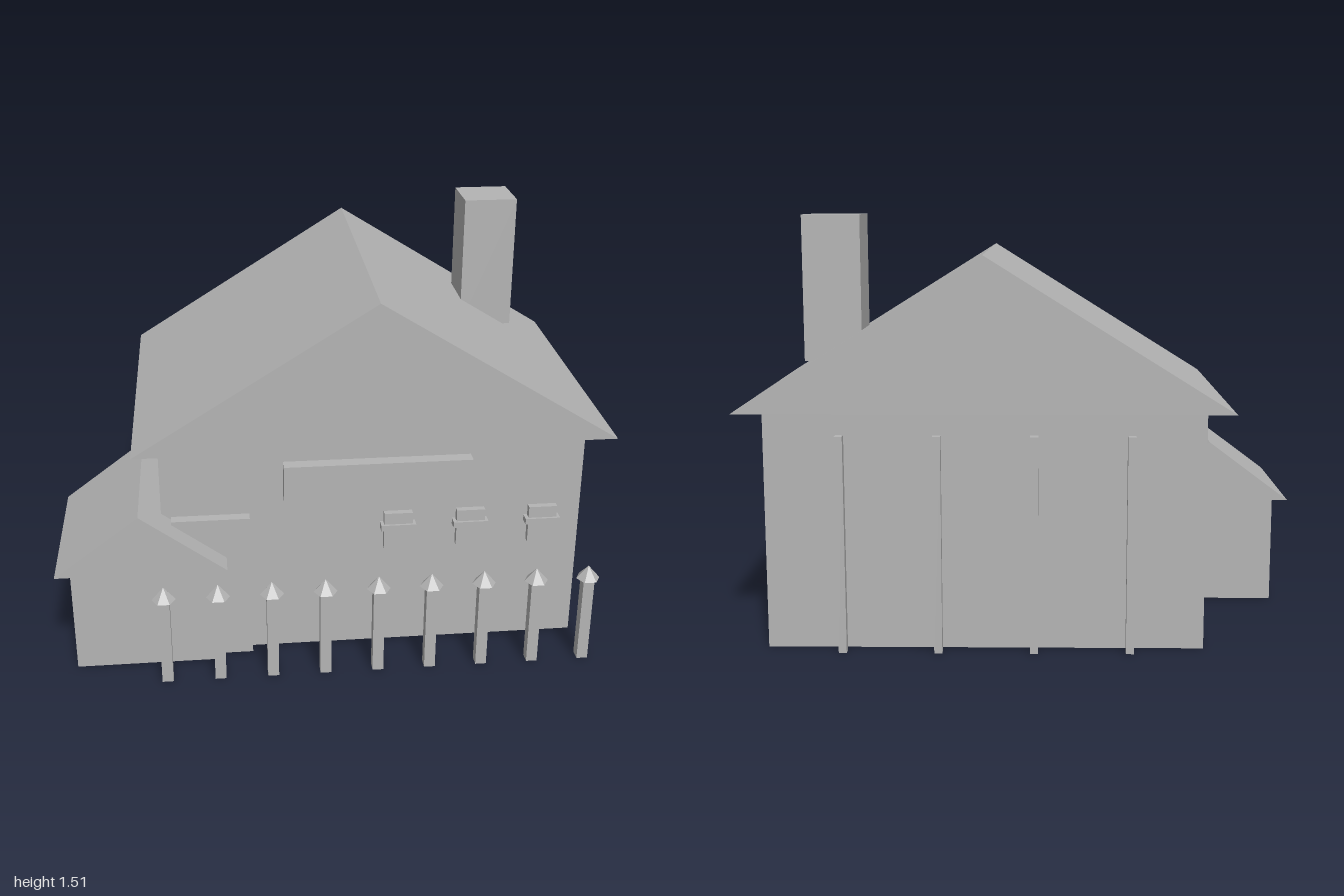
import * as THREE from 'three';

const grey = new THREE.MeshStandardMaterial({ color: 0xb4b4b4, flatShading: true });
grey.name = 'plainGrey';
const greyShell = new THREE.MeshStandardMaterial({ color: 0xb4b4b4, flatShading: true, side: THREE.DoubleSide });
greyShell.name = 'plainGreyShell';

// Box given by its limits on each axis
function box(name, [x0, x1], [y0, y1], [z0, z1]) {
  const mesh = new THREE.Mesh(new THREE.BoxGeometry(x1 - x0, y1 - y0, z1 - z0), grey);
  mesh.position.set((x0 + x1) / 2, (y0 + y1) / 2, (z0 + z1) / 2);
  mesh.name = name;
  return mesh;
}

// Gabled roof with two slopes and two gable ends, open underneath
function gableRoof(name, [x0, x1], [y0, y1], [z0, z1]) {
  const xm = (x0 + x1) / 2;
  const a = [x0, y0, z1], b = [x1, y0, z1], c = [xm, y1, z1];
  const d = [x0, y0, z0], e = [x1, y0, z0], f = [xm, y1, z0];
  const corners = [a, b, c, e, d, f, b, e, f, b, f, c, d, a, c, d, c, f];
  const geometry = new THREE.BufferGeometry();
  geometry.setAttribute('position', new THREE.Float32BufferAttribute(corners.flat(), 3));
  geometry.computeVertexNormals();
  const mesh = new THREE.Mesh(geometry, greyShell);
  mesh.name = name;
  return mesh;
}

export function createModel() {
  const house = new THREE.Group();
  house.name = 'house';

  // Main building
  house.add(
    box('mainWalls', [-0.62, 0.91], [0, 0.845], [-0.575, 0.445]),
    gableRoof('mainRoof', [-0.71, 1.0], [0.845, 1.378], [-0.663, 0.535]),
    box('chimney', [0.578, 0.78], [1.0, 1.508], [-0.447, -0.245])
  );

  // Joists under the main roof
  for (let i = 0; i < 7; i++) {
    const x = 0.145 + (i - 3) * 0.23;
    house.add(box('joist', [x - 0.02, x + 0.02], [0.847, 0.885], [-0.655, 0.525]));
  }

  // Side wing and door
  house.add(
    box('wingWalls', [-0.95, -0.44], [0, 0.41], [0.01, 0.522]),
    gableRoof('wingRoof', [-1.0, -0.392], [0.41, 0.637], [-0.042, 0.573]),
    box('door', [-0.585, -0.305], [0, 0.565], [0.42, 0.485])
  );

  // Sign board
  house.add(box('signBoard', [-0.187, 0.476], [0.667, 0.806], [0.525, 0.573]));

  // Windows, each with a cross bar
  for (const x of [0.234, 0.5, 0.767]) {
    house.add(
      box('windowPane', [x - 0.052, x + 0.052], [0.41, 0.552], [0.45, 0.474]),
      box('windowBar', [x - 0.064, x + 0.064], [0.485, 0.508], [0.445, 0.483])
    );
  }

  // Row of fence posts with six-sided pointed caps
  const capShape = new THREE.ConeGeometry(0.043, 0.05, 6);
  capShape.rotateY(Math.PI / 6);
  for (let i = 0; i < 9; i++) {
    const x = -0.62 + i * 0.191;
    const cap = new THREE.Mesh(capShape, grey);
    cap.position.set(x, 0.359, 0.624);
    cap.name = 'postCap';
    house.add(box('post', [x - 0.02, x + 0.02], [0, 0.335], [0.603, 0.645]), cap);
  }

  // Slim poles along the back
  for (let i = 0; i < 4; i++) {
    const x = 0.64 - i * 0.333;
    house.add(box('backPole', [x - 0.014, x + 0.014], [0, 0.765], [-0.638, -0.608]));
  }

  return house;
}
